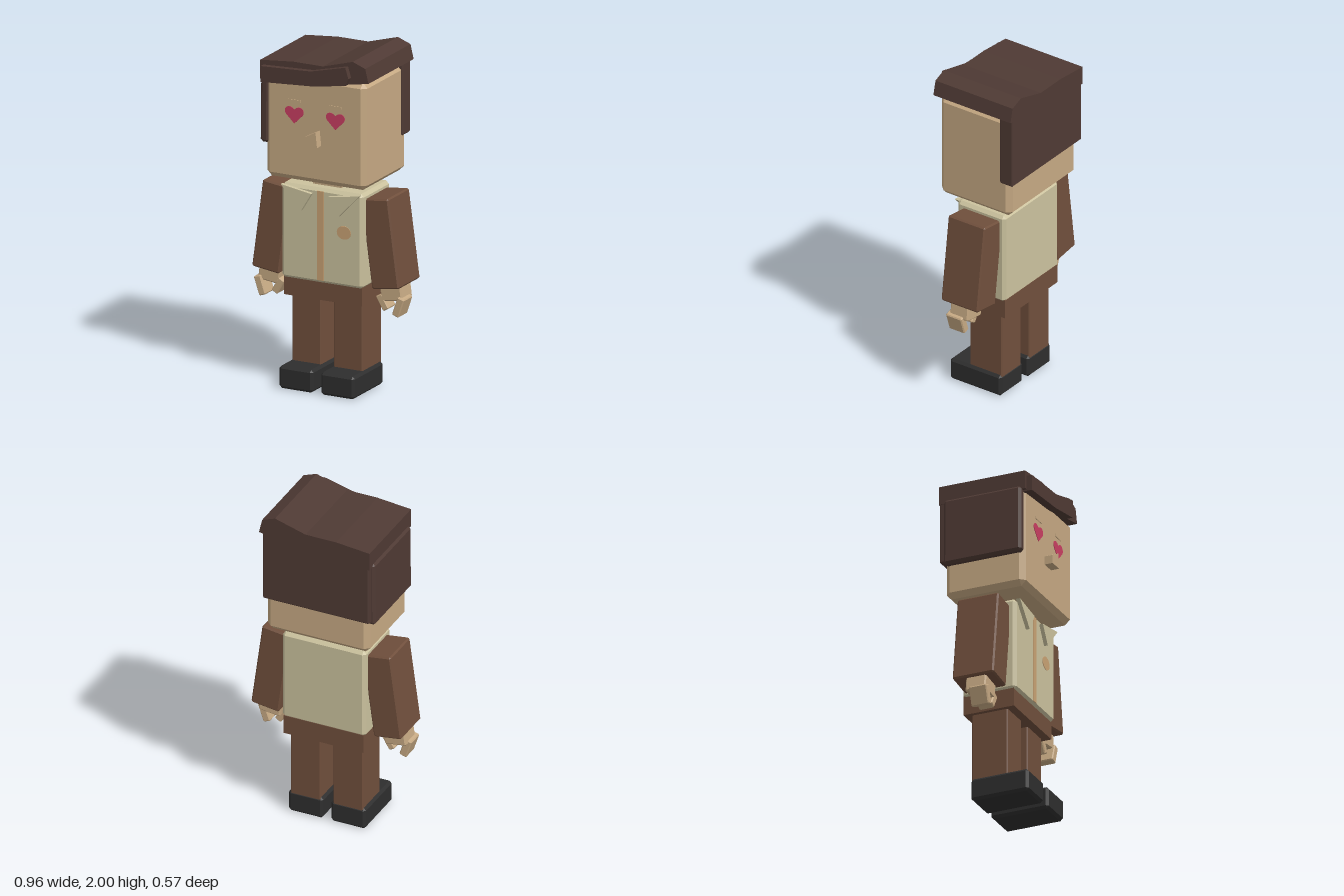
import * as THREE from 'three';
import { ConvexGeometry } from 'three/addons/geometries/ConvexGeometry.js';

const mat = (name, color) => new THREE.MeshStandardMaterial({ name, color });

// Box centred on the origin with flat chamfered edges
function chamferBox(w, h, d, c) {
  const points = [];
  for (const x of [-1, 1]) for (const y of [-1, 1]) for (const z of [-1, 1]) {
    const p = [x * w / 2, y * h / 2, z * d / 2];
    const s = [x * c, y * c, z * c];
    for (let keep = 0; keep < 3; keep++) {
      points.push(new THREE.Vector3(...p.map((v, i) => (i === keep ? v : v - s[i]))));
    }
  }
  return new ConvexGeometry(points);
}

// Outline in x, y pushed from z0 to z1
function slab(points, z0, z1) {
  const shape = points instanceof THREE.Shape
    ? points : new THREE.Shape(points.map(([x, y]) => new THREE.Vector2(x, y)));
  const geo = new THREE.ExtrudeGeometry(shape, { depth: z1 - z0, bevelEnabled: false, curveSegments: 8 });
  return geo.translate(0, 0, z0);
}

export function createModel() {
  const skin = mat('skin', 0xc6a983);
  const shirt = mat('shirt', 0xcbc29e);
  const tan = mat('tan trim', 0xc9a274);
  const brown = mat('brown cloth', 0x704f3c);
  const hair = mat('dark hair', 0x4f3a34);
  const black = mat('black shoe', 0x2e2e2e);
  const pink = mat('pink heart', 0xc93f62);

  const model = new THREE.Group();
  model.name = 'blockFigure';

  const add = (name, geo, material, parent = model) => {
    const mesh = new THREE.Mesh(geo, material);
    mesh.name = name;
    parent.add(mesh);
    return mesh;
  };
  // Box given by its limits on each axis, with an optional chamfer
  const block = (name, material, [x0, x1], [y0, y1], [z0, z1], c = 0) => {
    const size = [x1 - x0, y1 - y0, z1 - z0];
    const geo = c ? chamferBox(...size, c) : new THREE.BoxGeometry(...size);
    add(name, geo, material).position.set((x0 + x1) / 2, (y0 + y1) / 2, (z0 + z1) / 2);
  };

  // Head, neck and trunk
  block('head', skin, [-0.32, 0.32], [1.24, 1.87], [-0.256, 0.235], 0.03);
  block('neck', skin, [-0.09, 0.09], [1.17, 1.26], [-0.115, 0.09]);
  block('shirtBody', shirt, [-0.26, 0.26], [0.632, 1.19], [-0.175, 0.155], 0.018);
  block('hips', brown, [-0.25, 0.25], [0.53, 0.645], [-0.173, 0.14]);
  block('shirtStripe', tan, [-0.03, 0.013], [0.65, 1.175], [0.154, 0.158]);

  // Round patch on the chest
  const badge = new THREE.CylinderGeometry(0.045, 0.045, 0.004, 16).rotateX(Math.PI / 2).scale(1, 0.88, 1);
  add('chestPatch', badge, tan).position.set(0.142, 0.952, 0.156);

  // Nose
  add('nose', slab([[-0.045, 1.47], [0.04, 1.47], [0.03, 1.56], [-0.045, 1.52]], 0.22, 0.285), skin);

  // Hair: cap with a raised side, fringe, back panel and one side lock
  add('hairCap', slab([
    [-0.34, 1.815], [0, 1.835], [0.24, 1.865], [0.35, 1.885], [0.33, 1.97],
    [0.25, 2.0], [0.06, 1.945], [-0.13, 1.945], [-0.34, 1.925],
  ], -0.282, 0.252), hair);
  add('fringe', slab([
    [-0.32, 1.807], [0, 1.828], [0.22, 1.862], [0.24, 1.905], [0.22, 1.97],
    [0, 1.915], [-0.32, 1.9],
  ], 0.23, 0.285), hair);
  block('backHair', hair, [-0.335, 0.33], [1.455, 1.9], [-0.281, -0.19], 0.008);
  const lock = add('sideLock', chamferBox(0.056, 0.4, 0.48, 0.015), hair);
  lock.position.set(-0.327, 1.635, -0.01);
  lock.rotation.z = -0.01;

  // Heart outline for the eyes
  const heart = new THREE.Shape();
  heart.moveTo(0, -0.05);
  heart.lineTo(0.054, 0.003);
  heart.bezierCurveTo(0.075, 0.035, 0.035, 0.068, 0, 0.032);
  heart.bezierCurveTo(-0.035, 0.068, -0.075, 0.035, -0.054, 0.003);
  heart.closePath();

  for (const s of [-1, 1]) {
    const side = s > 0 ? 'left' : 'right';
    const span = (a, b) => (s > 0 ? [a, b] : [-b, -a]);

    // Face details
    add(side + 'HeartEye', slab(heart, 0, 0.004), pink).position.set(s * 0.131, 1.627, 0.234);
    block(side + 'Brow', skin, span(0.09, 0.168), [1.703, 1.717], [0.23, 0.239]);

    // Collar point
    const collar = [[s * 0.25, 1.187], [s * 0.055, 1.157], [s * 0.12, 1.05]];
    add(side + 'Collar', slab(collar, 0.153, 0.178), shirt);

    // Leg and shoe
    block(side + 'Leg', brown, span(0.04, 0.225), [0.1, 0.55], [-0.132, 0.09], 0.006);
    block(side + 'Shoe', black, span(0.025, 0.24), [0, 0.133], [-0.135, 0.222], 0.015);

    // Arm, palm and two stubby fingers, each tilted about z
    const limb = (name, material, size, c, [x, y, z], tilt) => {
      const mesh = add(side + name, chamferBox(...size, c), material);
      mesh.position.set(s * x, y, z);
      mesh.rotation.z = s * tilt;
    };
    limb('Arm', brown, [0.175, 0.525, 0.255], 0.009, [0.348, 0.904, -0.013], 0.134);
    limb('Palm', skin, [0.135, 0.1, 0.125], 0.008, [0.388, 0.61, -0.002], 0.134);
    limb('OuterFinger', skin, [0.045, 0.115, 0.108], 0.006, [0.441, 0.534, 0.021], -0.32);
    limb('InnerFinger', skin, [0.042, 0.095, 0.09], 0.006, [0.333, 0.544, 0.015], 0.53);
  }

  return model;
}
